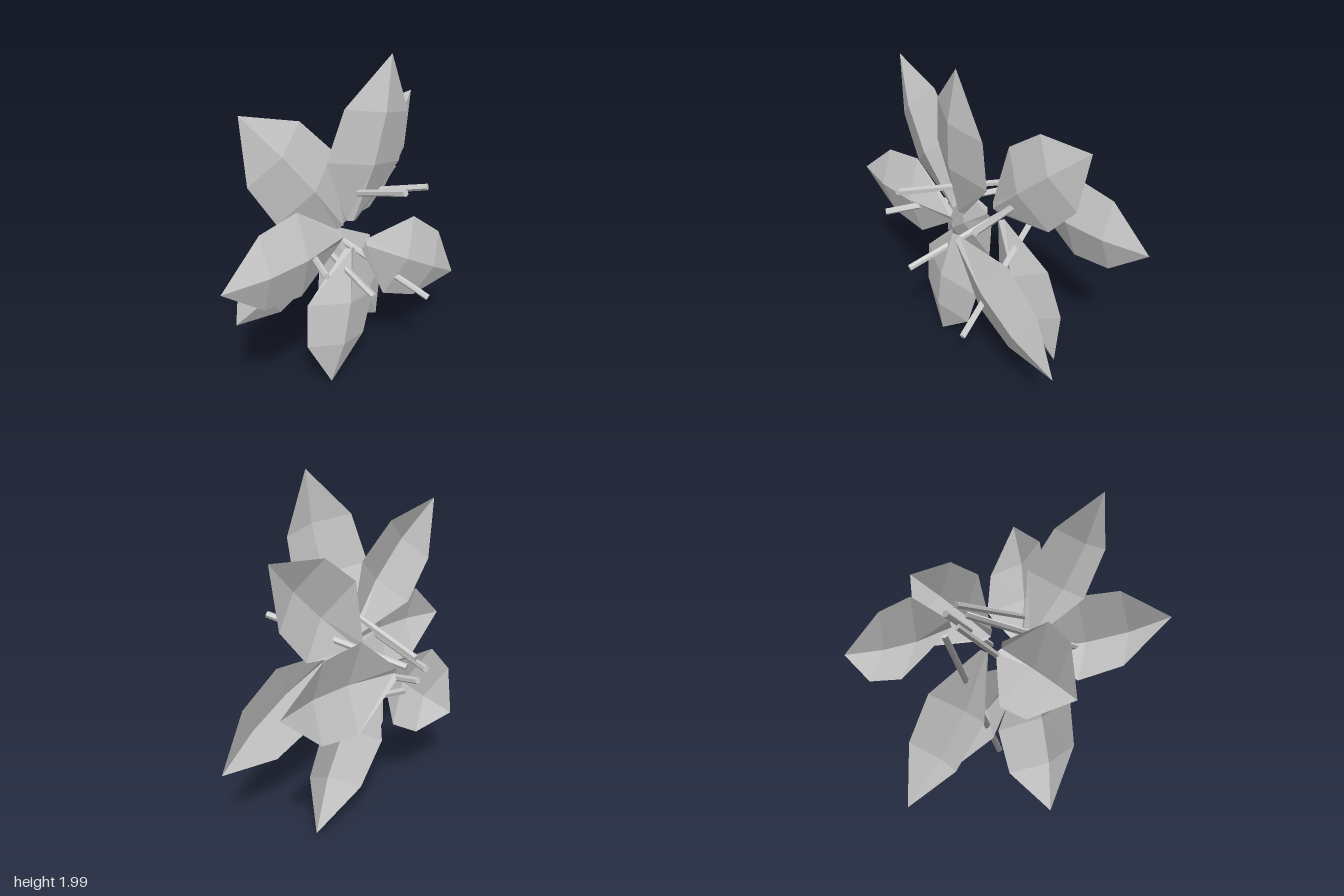
import * as THREE from 'three';

const grey = new THREE.MeshStandardMaterial({ color: 0xcccccc, flatShading: true, side: THREE.DoubleSide });
grey.name = 'paleGrey';

// Rows along a petal: position, half width, lift of the midrib, lift of the edges
const ROWS = [
  [0, 0.035, 0.01, -0.01],
  [0.37, 0.26, 0.067, -0.018],
  [0.68, 0.225, 0.062, -0.012],
  [1, 0, 0, 0],
];

// A folded sheet from base to tip, with its midrib raised toward the front
function petal(base, tip, roll = 0) {
  const a = new THREE.Vector3(...base);
  const b = new THREE.Vector3(...tip);
  const dir = b.clone().sub(a);
  const side = new THREE.Vector3(dir.y, -dir.x, 0).normalize();
  side.z = roll;
  const points = [];
  for (const [t, half, rib, edge] of ROWS) {
    for (const s of [-1, 0, 1]) {
      const p = a.clone().addScaledVector(dir, t).addScaledVector(side, s * half);
      p.z += s === 0 ? rib : edge;
      points.push(p);
    }
  }
  const index = [];
  for (let r = 0; r < 3; r++) {
    for (let c = 0; c < 2; c++) {
      const i = r * 3 + c;
      index.push(i, i + 1, i + 4);
      if (r < 2) index.push(i, i + 4, i + 3);
      else if (c === 0) index.pop(), index.pop(), index.pop(), index.push(i, i + 1, i + 3);
    }
  }
  const geo = new THREE.BufferGeometry().setFromPoints(points);
  geo.setIndex(index);
  const flat = geo.toNonIndexed();
  flat.computeVertexNormals();
  return new THREE.Mesh(flat, grey);
}

// A slim six-sided rod between two points
function rod(from, to) {
  const a = new THREE.Vector3(...from);
  const b = new THREE.Vector3(...to);
  const dir = b.clone().sub(a);
  const mesh = new THREE.Mesh(new THREE.CylinderGeometry(0.02, 0.02, dir.length(), 6), grey);
  mesh.position.copy(a).add(b).multiplyScalar(0.5);
  mesh.quaternion.setFromUnitVectors(new THREE.Vector3(0, 1, 0), dir.normalize());
  return mesh;
}

export function createModel() {
  const flower = new THREE.Group();
  flower.name = 'flower';

  // Petals, clockwise from the top: base, tip, roll
  const petals = [
    [[0.01, 1.04, 0.08], [0.17, 2.0, 0.21], 0.08],
    [[0.08, 1.02, -0.12], [0.74, 1.65, -0.19]],
    [[0.1, 0.97, -0.43], [0.94, 1.01, -0.5]],
    [[0.06, 0.89, 0.14], [0.9, 0.42, 0.11]],
    [[0.04, 0.88, -0.2], [0.54, 0.06, -0.26]],
    [[-0.02, 0.88, 0.1], [-0.17, 0.01, 0.1]],
    [[-0.06, 0.88, -0.19], [-0.61, 0.42, -0.26]],
    [[-0.07, 0.96, 0.08], [-0.94, 0.93, 0.165]],
    [[-0.06, 1.03, 0.07], [-0.68, 1.77, 0.01]],
  ];
  petals.forEach(([base, tip, roll], i) => {
    const mesh = petal(base, tip, roll);
    mesh.name = `petal${i + 1}`;
    flower.add(mesh);
  });

  // Stamens, fanning out from a small ring at the back
  const stamens = [
    [[0.005, 1.05, -0.49], [0.02, 1.33, 0.49]],
    [[0.08, 1.02, -0.49], [0.42, 1.205, 0.28]],
    [[-0.08, 0.96, -0.49], [-0.4, 0.92, 0.34]],
    [[-0.015, 0.91, -0.49], [-0.09, 0.7, 0.38]],
    [[0.08, 0.885, -0.49], [0.4, 0.5, 0.35]],
  ];
  stamens.forEach(([from, to], i) => {
    const mesh = rod(from, to);
    mesh.name = `stamen${i + 1}`;
    flower.add(mesh);
  });

  return flower;
}
